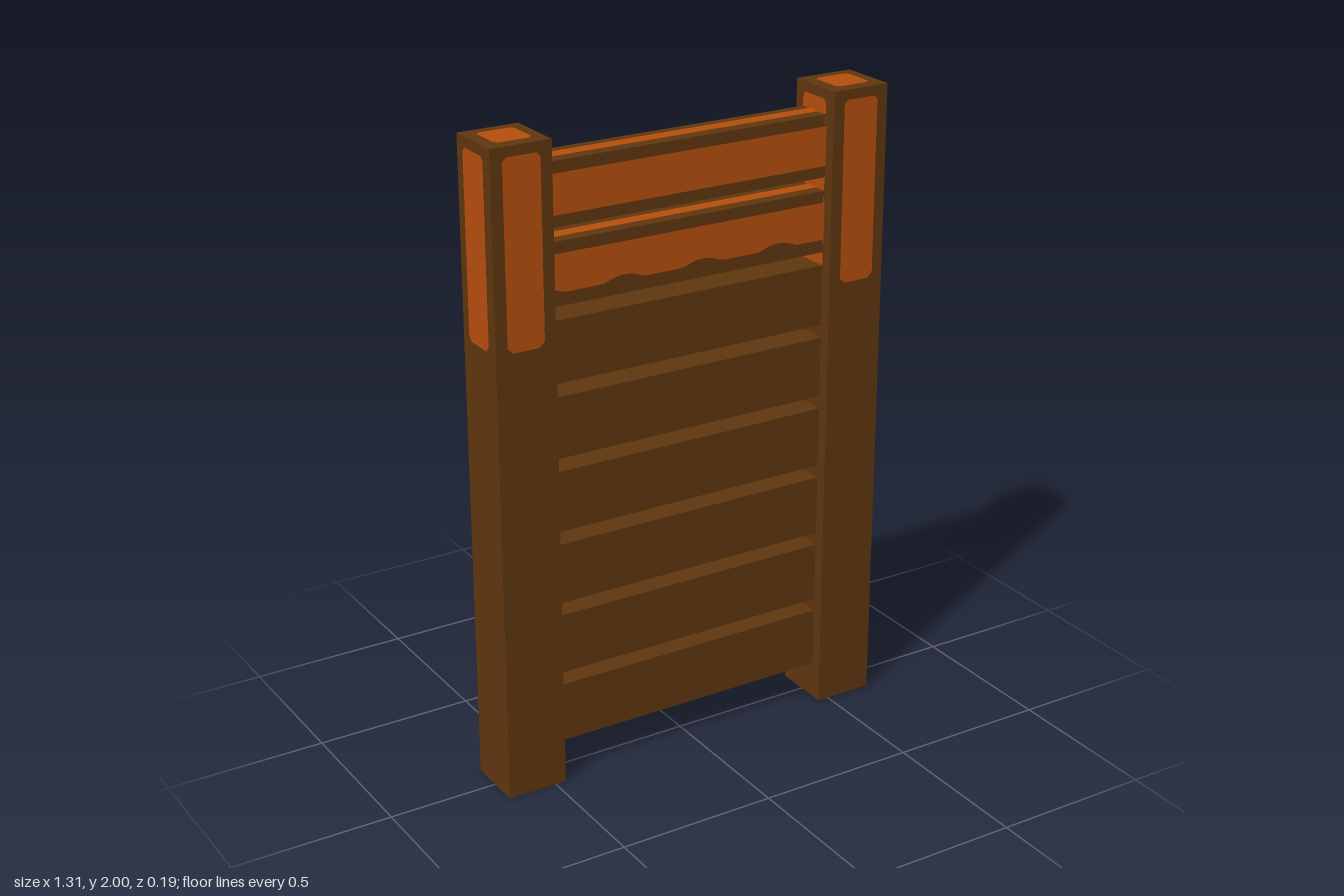
import * as THREE from 'three';

const POST = 0.19, HEIGHT = 2, POST_X = 0.56;
const SLAT_W = 0.93, SLAT_H = 0.19, SLAT_D = 0.115, PITCH = 0.231;
const LIFT = 0.002; // painted faces sit just above the wood

export function createModel() {
  const wood = new THREE.MeshStandardMaterial({ color: 0x5f360f });
  wood.name = 'dark brown wood';
  const paint = new THREE.MeshStandardMaterial({ color: 0xb64e0d });
  paint.name = 'orange paint';

  const model = new THREE.Group();
  model.name = 'slattedPanel';

  const add = (parent, name, geometry, material, x = 0, y = 0, z = 0) => {
    const mesh = new THREE.Mesh(geometry, material);
    mesh.name = name;
    mesh.position.set(x, y, z);
    parent.add(mesh);
    return mesh;
  };

  // Flat panel outline with clipped corners (top and bottom cuts differ)
  const clippedPanel = (w, y0, y1, top, bottom) => {
    const h = w / 2;
    return new THREE.ShapeGeometry(new THREE.Shape([
      [-h + bottom, y0], [h - bottom, y0], [h, y0 + bottom], [h, y1 - top],
      [h - top, y1], [-h + top, y1], [-h, y1 - top], [-h, y0 + bottom],
    ].map(([x, y]) => new THREE.Vector2(x, y))));
  };

  // Panel whose lower edge is worn in shallow scallops
  const wavyPanel = (w, y0, y1) => {
    const points = [new THREE.Vector2(w / 2, y1), new THREE.Vector2(-w / 2, y1)];
    for (let i = 0; i <= 48; i++) {
      const x = -w / 2 + (w * i) / 48;
      const wave = Math.max(0, Math.cos(((x - 0.04) / 0.262) * Math.PI * 2));
      points.push(new THREE.Vector2(x, y0 + 0.017 * wave));
    }
    return new THREE.ShapeGeometry(new THREE.Shape(points));
  };

  // Posts with a painted cap and four painted sides
  const postGeometry = new THREE.BoxGeometry(POST, HEIGHT, POST);
  const sidePanel = clippedPanel(0.117, 1.41, 1.97, 0.012, 0.016);
  const capPanel = clippedPanel(0.117, -0.0585, 0.0585, 0.012, 0.012);
  for (const side of [1, -1]) {
    const post = new THREE.Group();
    post.name = side > 0 ? 'leftPost' : 'rightPost';
    post.position.x = side * POST_X;
    add(post, 'postBeam', postGeometry, wood, 0, HEIGHT / 2);
    for (let i = 0; i < 4; i++) {
      const a = (i * Math.PI) / 2, r = POST / 2 + LIFT;
      add(post, 'postSidePaint', sidePanel, paint, Math.sin(a) * r, 0, Math.cos(a) * r).rotation.y = a;
    }
    add(post, 'postCapPaint', capPanel, paint, 0, HEIGHT + LIFT).rotation.x = -Math.PI / 2;
    model.add(post);
  }

  // Eight evenly spaced slats, the top two painted
  const slatGeometry = new THREE.BoxGeometry(SLAT_W, SLAT_H, SLAT_D);
  const topStrip = new THREE.PlaneGeometry(SLAT_W, 0.045);
  const facePanels = [clippedPanel(SLAT_W, -0.06, 0.06, 0, 0), wavyPanel(SLAT_W, -0.055, 0.06)];
  for (let i = 0; i < 8; i++) {
    const slat = new THREE.Group();
    slat.name = `slat${i + 1}`;
    slat.position.y = 1.83 - i * PITCH;
    add(slat, 'slatBoard', slatGeometry, wood);
    if (i < 2) {
      const z = SLAT_D / 2 + LIFT;
      add(slat, 'slatFrontPaint', facePanels[i], paint, 0, 0, z);
      add(slat, 'slatBackPaint', facePanels[i], paint, 0, 0, -z).rotation.y = Math.PI;
      add(slat, 'slatTopPaint', topStrip, paint, 0, SLAT_H / 2 + LIFT).rotation.x = -Math.PI / 2;
    }
    model.add(slat);
  }
  return model;
}
